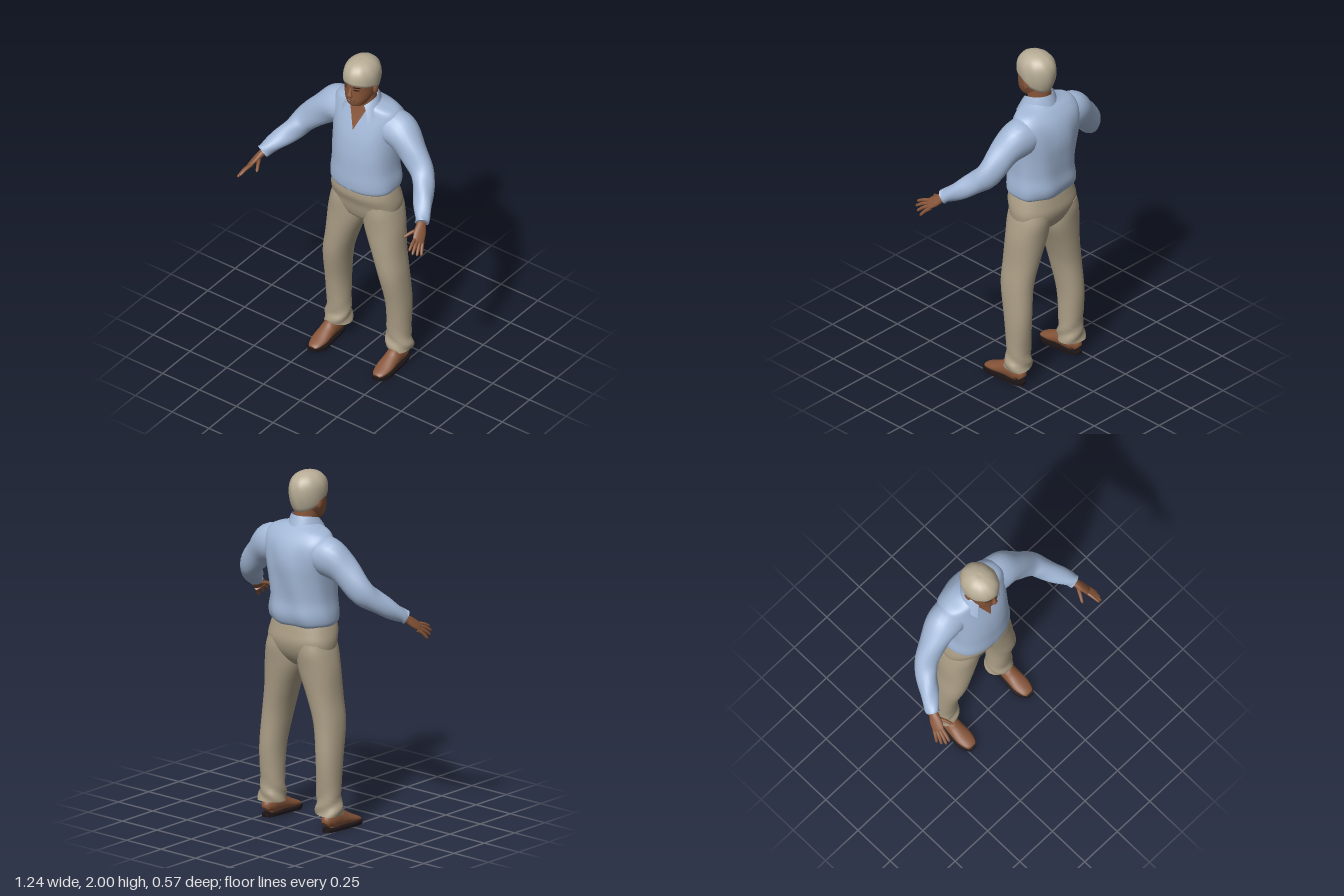
import * as THREE from 'three';

const mat = (name, color, side = THREE.FrontSide) => {
  const m = new THREE.MeshStandardMaterial({ color, side });
  m.name = name;
  return m;
};

// Skin a list of rings (or open rows) of points, with optional end caps
function surface(rings, wrap = true, caps = true) {
  const pos = [], idx = [], n = rings[0].length;
  rings.forEach(r => r.forEach(p => pos.push(p.x, p.y, p.z)));
  for (let i = 0; i < rings.length - 1; i++) {
    for (let j = 0; j < (wrap ? n : n - 1); j++) {
      const k = (j + 1) % n, a = i * n + j, b = i * n + k;
      idx.push(a, b, b + n, a, b + n, a + n);
    }
  }
  if (wrap && caps) {
    [rings[0], rings[rings.length - 1]].forEach((r, end) => {
      const start = pos.length / 3, c = new THREE.Vector3();
      r.forEach(p => { pos.push(p.x, p.y, p.z); c.addScaledVector(p, 1 / n); });
      pos.push(c.x, c.y, c.z);
      for (let j = 0; j < n; j++) {
        const a = start + j, b = start + (j + 1) % n;
        idx.push(start + n, end ? a : b, end ? b : a);
      }
    });
  }
  const g = new THREE.BufferGeometry();
  g.setAttribute('position', new THREE.Float32BufferAttribute(pos, 3));
  g.setIndex(idx);
  g.computeVertexNormals();
  return g;
}

// Smooth rows of numbers with a Catmull-Rom spline
function smooth(rows, steps = 5) {
  const out = [], at = i => rows[Math.max(0, Math.min(rows.length - 1, i))];
  for (let i = 0; i < rows.length - 1; i++) {
    for (let s = 0; s < steps; s++) {
      const t = s / steps;
      out.push(rows[i].map((_, k) => {
        const [a, b, c, d] = [at(i - 1)[k], at(i)[k], at(i + 1)[k], at(i + 2)[k]];
        return b + 0.5 * t * (c - a + t * (2 * a - 5 * b + 4 * c - d + t * (3 * (b - c) + d - a)));
      }));
    }
  }
  out.push(rows[rows.length - 1]);
  return out;
}

const pw = (v, p) => Math.sign(v) * Math.abs(v) ** (2 / p);

// Upright body part: rows of [y, centre x, half width, front z, back z], rising
function upright(rows, p = 2.2, n = 40, fold = () => 0) {
  return surface(smooth(rows).map(([y, cx, w, f, b]) => Array.from({ length: n }, (_, j) => {
    const a = j / n * Math.PI * 2, k = fold(a, y);
    return new THREE.Vector3(cx + (w + k) * pw(Math.sin(a), p), y,
      (f + b) / 2 + ((f - b) / 2 + k) * pw(Math.cos(a), p));
  })));
}

// Limb along a path: rows of [x, y, z, radius along hint, radius across]
function limb(rows, hint = [0, 1, 0], n = 20, fold = () => 0) {
  const r = smooth(rows), pt = i => new THREE.Vector3(...r[i].slice(0, 3));
  return surface(r.map((row, i) => {
    const T = pt(Math.min(i + 1, r.length - 1)).sub(pt(Math.max(i - 1, 0))).normalize();
    const V = new THREE.Vector3(...hint);
    V.addScaledVector(T, -V.dot(T)).normalize();
    const U = T.clone().cross(V);
    return Array.from({ length: n }, (_, j) => {
      const a = j / n * Math.PI * 2, k = fold(a, i / r.length);
      return pt(i).addScaledVector(V, (row[3] + k) * Math.cos(a)).addScaledVector(U, (row[4] + k) * Math.sin(a));
    });
  }));
}

// Thin plate following the front of an upright part
function plate(rows, p, y0, y1, halfWidth, lift, cx = 0) {
  const dense = smooth(rows, 10), out = [];
  for (let i = 0; i <= 12; i++) {
    const t = i / 12, y = y0 + (y1 - y0) * t;
    const k = Math.max(1, dense.findIndex(r => r[0] >= y));
    const u = (y - dense[k - 1][0]) / (dense[k][0] - dense[k - 1][0]);
    const [, , w, f, b] = dense[k].map((v, m) => dense[k - 1][m] + (v - dense[k - 1][m]) * u);
    out.push(Array.from({ length: 9 }, (_, j) => {
      const x = cx + halfWidth(t) * (j / 4 - 1);
      const z = (f + b) / 2 + (f - b) / 2 * (1 - Math.abs(x / w) ** p) ** (1 / p);
      return new THREE.Vector3(x, y, z + lift);
    }));
  }
  return surface(out, false);
}

function mirrored(geo) {
  const g = geo.clone(), ix = g.index;
  g.scale(-1, 1, 1);
  for (let i = 0; i < ix.count; i += 3) {
    const a = g.index.getX(i + 1);
    g.index.setX(i + 1, g.index.getX(i + 2));
    g.index.setX(i + 2, a);
  }
  g.computeVertexNormals();
  return g;
}

export function createModel() {
  const root = new THREE.Group();
  root.name = 'standingMan';
  const skin = mat('skin', 0x875539), shirt = mat('shirt', 0xa2b7d6, THREE.DoubleSide);
  const trousers = mat('trousers', 0xaa9d85), hair = mat('hair', 0xb8ad96, THREE.DoubleSide);
  const sole = mat('sole', 0x1c1416), dark = mat('eyes', 0x2e1c15), teeth = mat('teeth', 0xb5a79b);
  const add = (name, geo, m) => {
    const mesh = new THREE.Mesh(geo, m);
    mesh.name = name;
    root.add(mesh);
  };
  const pair = (name, geo, m) => {
    add(name + 'Left', geo, m);
    add(name + 'Right', mirrored(geo), m);
  };
  const ball = (x, y, z, sx, sy, sz) =>
    new THREE.SphereGeometry(1, 18, 12).scale(sx, sy, sz).translate(x, y, z);

  // Shirt body with soft folds, bloused over the waist
  const torso = [[1.15, 0, 0.18, 0.03, -0.23], [1.17, 0, 0.2, 0.052, -0.25], [1.22, 0, 0.202, 0.058, -0.265],
    [1.3, 0, 0.192, 0.055, -0.263], [1.4, 0, 0.193, 0.05, -0.272], [1.5, 0, 0.2, 0.033, -0.28],
    [1.58, 0, 0.212, 0.008, -0.272], [1.64, 0, 0.215, -0.015, -0.25], [1.685, 0, 0.185, -0.03, -0.215],
    [1.71, 0, 0.11, -0.035, -0.185], [1.73, 0, 0.07, -0.04, -0.16]];
  add('shirtBody', upright(torso, 2.3, 56, (a, y) =>
    0.005 * (1 - Math.cos(a)) / 2 * Math.sin(7 * a + 11 * y) * Math.max(0, Math.min(1, (1.7 - y) * 6))), shirt);
  add('shirtPlacket', plate(torso, 2.3, 1.175, 1.57, () => 0.014, 0.004), shirt);
  add('openNeck', plate(torso, 2.3, 1.562, 1.705, t => 0.001 + 0.06 * t, 0.005), skin);

  // Collar: stand around the neck folding down to two points
  const collar = [[], [], []];
  for (let i = 0; i <= 32; i++) {
    const s = i / 16 - 1, a = Math.PI + s * 2.5, f = Math.abs(s) ** 3;
    const ring = (r, y, z) => new THREE.Vector3(r * Math.sin(a), y, -0.092 + z * Math.cos(a));
    collar[0].push(ring(0.092 + 0.055 * f, 1.7 - 0.065 * f, 0.1 + 0.02 * f));
    collar[1].push(ring(0.084 + 0.02 * f, 1.74 - 0.042 * f, 0.086 + 0.01 * f));
    collar[2].push(ring(0.076, 1.765 - 0.045 * f, 0.075 + 0.012 * f));
  }
  add('collar', surface(collar, false), shirt);

  // Sleeves
  pair('sleeve', limb([[0.13, 1.585, -0.13, 0.09, 0.1], [0.21, 1.56, -0.128, 0.108, 0.1],
    [0.3, 1.495, -0.108, 0.086, 0.08], [0.39, 1.4, -0.085, 0.073, 0.066], [0.435, 1.345, -0.04, 0.064, 0.06],
    [0.485, 1.29, 0.03, 0.053, 0.053], [0.53, 1.242, 0.098, 0.04, 0.04], [0.542, 1.228, 0.118, 0.038, 0.038]],
  [0, 1, 0], 24, (a, t) => 0.003 * Math.sin(3 * a + 22 * t)), shirt);

  // Hands: palm, four fingers and thumb
  pair('palm', limb([[0.528, 1.24, 0.09, 0.02, 0.026], [0.543, 1.218, 0.125, 0.02, 0.028],
    [0.558, 1.192, 0.158, 0.017, 0.036], [0.574, 1.166, 0.192, 0.011, 0.034],
    [0.577, 1.16, 0.2, 0.006, 0.026]], [0.75, 0.71, 0.2]), skin);
  [['indexFinger', [0.556, 1.178, 0.19], [0.576, 1.145, 0.282]],
    ['middleFinger', [0.568, 1.168, 0.19], [0.594, 1.124, 0.276]],
    ['ringFinger', [0.578, 1.158, 0.182], [0.607, 1.108, 0.252]],
    ['littleFinger', [0.586, 1.15, 0.172], [0.615, 1.094, 0.222]],
    ['thumb', [0.545, 1.2, 0.14], [0.498, 1.172, 0.228]]].forEach(([name, a, b]) => {
    const row = (t, r, lift) => [...a.map((v, i) => v + (b[i] - v) * t + (i === 1 ? lift : 0)), r, r];
    pair(name, limb([row(0, 0.011, 0), row(0.5, 0.01, 0.006), row(0.9, 0.008, 0.002), row(1, 0.002, 0)], [0, 1, 0], 10), skin);
  });

  // Trousers: seat and two legs with crumpled hems
  add('trouserSeat', upright([[0.915, 0, 0.04, -0.05, -0.17], [0.95, 0, 0.15, -0.012, -0.205],
    [1, 0, 0.2, 0.008, -0.235], [1.06, 0, 0.212, 0.022, -0.25], [1.12, 0, 0.203, 0.042, -0.242],
    [1.18, 0, 0.185, 0.04, -0.23]], 2.3), trousers);
  pair('trouserLeg', upright([[0.095, 0.207, 0.076, -0.055, -0.202], [0.13, 0.207, 0.076, -0.055, -0.198],
    [0.2, 0.203, 0.068, -0.065, -0.193], [0.4, 0.205, 0.068, -0.045, -0.206], [0.6, 0.187, 0.077, -0.005, -0.2],
    [0.75, 0.155, 0.09, 0.003, -0.21], [0.9, 0.122, 0.113, 0.004, -0.226], [1, 0.112, 0.105, 0.008, -0.238],
    [1.06, 0.1, 0.1, 0.005, -0.235]], 2.2, 36, (a, y) =>
    0.005 * Math.sin(3 * a + 70 * y) * Math.max(0, Math.min(1, (0.3 - y) * 6))), trousers);

  // Feet on thin soles
  pair('foot', limb([[0.217, 0.04, -0.17, 0.025, 0.024], [0.217, 0.062, -0.145, 0.05, 0.04],
    [0.217, 0.065, -0.08, 0.055, 0.043], [0.218, 0.053, -0.03, 0.04, 0.046], [0.218, 0.037, 0.03, 0.025, 0.048],
    [0.218, 0.026, 0.08, 0.014, 0.036], [0.218, 0.02, 0.097, 0.008, 0.022]]), skin);
  const outline = new THREE.Shape(new THREE.SplineCurve([[0.195, -0.105], [0.243, -0.105], [0.27, -0.05],
    [0.268, 0.02], [0.257, 0.13], [0.24, 0.178], [0.2, 0.178], [0.18, 0.13], [0.168, 0.02], [0.164, -0.05], [0.195, -0.105]]
    .map(p => new THREE.Vector2(...p))).getPoints(50));
  const soleGeo = new THREE.ExtrudeGeometry(outline, { depth: 0.016, bevelEnabled: false })
    .rotateX(Math.PI / 2).scale(1, 1, 1).translate(0, 0.016, 0);
  // Turn the outline so the toe points forward
  soleGeo.scale(1, 1, -1);
  const sp = soleGeo.attributes.position;
  soleGeo.setIndex(Array.from({ length: sp.count }, (_, i) => (i % 3 === 0 ? i : i % 3 === 1 ? i + 1 : i - 1)));
  soleGeo.computeVertexNormals();
  pair('shoeSole', soleGeo, sole);

  // Neck and head
  add('neck', upright([[1.6, 0, 0.075, -0.05, -0.19], [1.68, 0, 0.07, -0.032, -0.165],
    [1.74, 0, 0.066, -0.022, -0.155], [1.8, 0, 0.066, -0.03, -0.15]], 2, 28), skin);
  const head = [[1.725, 0, 0.03, 0.018, -0.06], [1.738, 0, 0.05, 0.034, -0.09], [1.768, 0, 0.068, 0.042, -0.12],
    [1.8, 0, 0.079, 0.042, -0.145], [1.84, 0, 0.085, 0.042, -0.16], [1.88, 0, 0.087, 0.044, -0.165],
    [1.93, 0, 0.08, 0.03, -0.16], [1.97, 0, 0.05, -0.01, -0.12]];
  add('head', upright(head, 2.2, 36), skin);
  pair('ear', ball(0.088, 1.826, -0.072, 0.011, 0.03, 0.02), skin);
  add('nose', limb([[0, 1.858, 0.036, 0.007, 0.007], [0, 1.83, 0.046, 0.01, 0.01],
    [0, 1.81, 0.05, 0.013, 0.017], [0, 1.799, 0.043, 0.006, 0.012]], [0, 0, 1], 14), skin);
  pair('eye', plate(head, 2.2, 1.848, 1.857, t => 0.003 + 0.013 * Math.sin(Math.PI * t), 0.002, 0.038), dark);
  pair('eyebrow', plate(head, 2.2, 1.868, 1.875, () => 0.018, 0.003, 0.038), dark);
  add('mouth', plate(head, 2.2, 1.769, 1.778, t => 0.004 + 0.024 * Math.sin(Math.PI * t), 0.002), dark);
  add('teeth', plate(head, 2.2, 1.772, 1.776, () => 0.018, 0.003), teeth);

  // Hair cap: short fringe, swept lower around the back
  const rows = [];
  for (let i = 0; i <= 16; i++) {
    rows.push(Array.from({ length: 48 }, (_, j) => {
      const a = j / 48 * Math.PI * 2, c = Math.cos(a);
      const rim = c > 0 ? 1.838 + 0.045 * c ** 0.6 : 1.838 - 0.055 * Math.abs(c) ** 0.7;
      const t = Math.max(0, i - 1) / 15, y = rim + (1.999 - rim) * Math.sin(t * Math.PI / 2);
      const h = (y - 1.895) / 0.105;
      let r = h > 0 ? Math.max(0.02, 1 - h ** 2.4) ** (1 / 2.2) : 1 - 0.2 * h * h;
      r *= (i === 0 ? 0.86 : 1) * (1 + 0.012 * Math.sin(9 * a + 30 * y));
      return new THREE.Vector3(0.098 * r * Math.sin(a), y, -0.067 + 0.119 * r * c);
    }));
  }
  add('hair', surface(rows), hair);
  return root;
}
